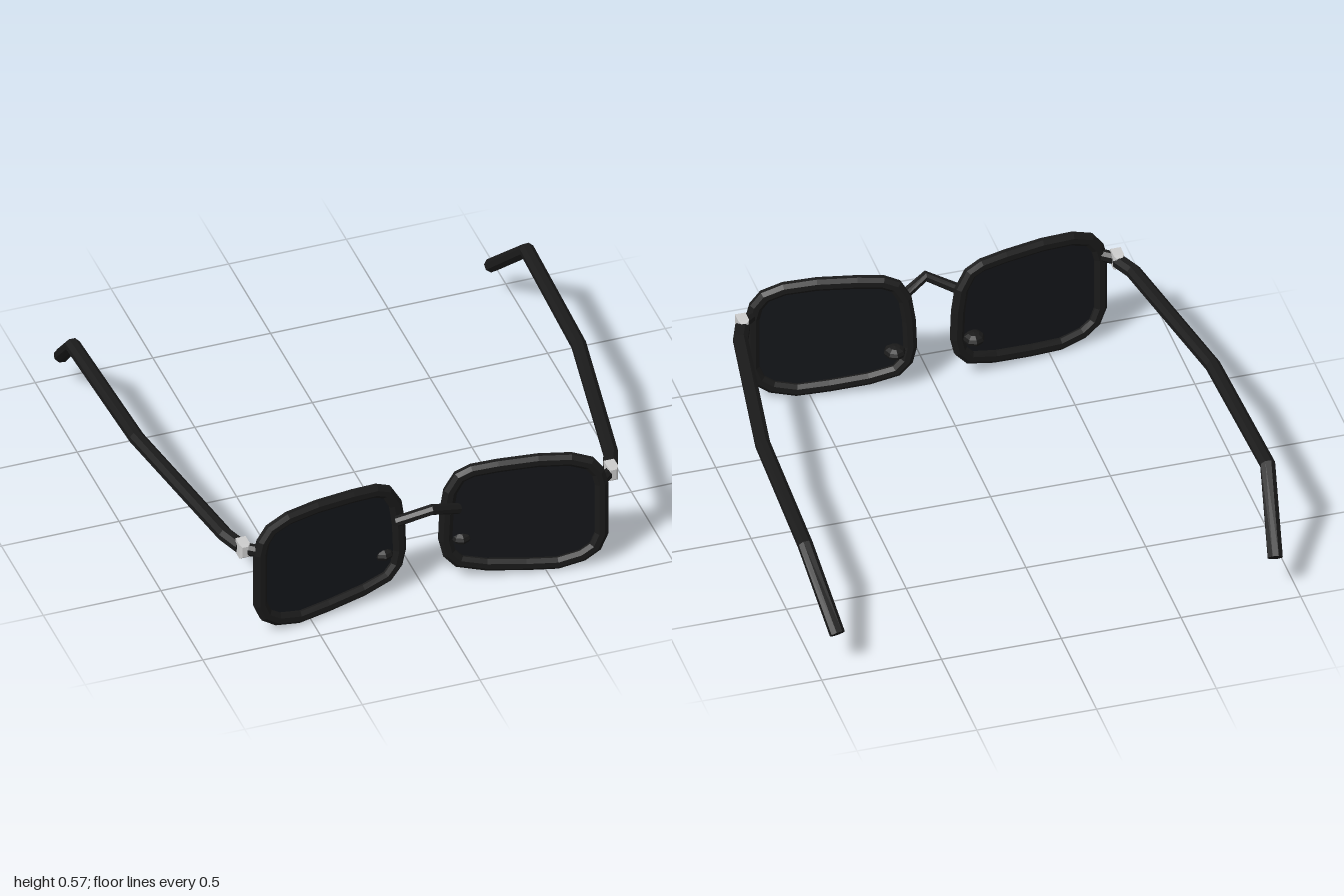
import * as THREE from 'three';

const black = new THREE.MeshStandardMaterial({ color: 0x1a1a1a, flatShading: true });
const metal = new THREE.MeshStandardMaterial({ color: 0xcccccc, flatShading: true });
const glass = new THREE.MeshStandardMaterial({ color: 0x14161a, side: THREE.DoubleSide });

// Centre line of one rim, seen from the front (model's left side)
const RIM = [
  [0.725, 0.40], [0.712, 0.455], [0.677, 0.503], [0.60, 0.533], [0.47, 0.544],
  [0.31, 0.539], [0.207, 0.529], [0.155, 0.505], [0.118, 0.438], [0.103, 0.335],
  [0.098, 0.205], [0.113, 0.137], [0.153, 0.09], [0.262, 0.06], [0.42, 0.04],
  [0.55, 0.03], [0.648, 0.054], [0.70, 0.092], [0.725, 0.155],
];
const TEMPLE = [
  [0.785, 0.41, 0.85], [0.82, 0.415, 0.76], [0.94, 0.43, 0.04],
  [0.965, 0.42, -0.65], [0.914, 0.165, -0.93],
];

// The lenses lie in slanted planes, the outer edge further forward
const planeZ = (x) => 0.81 + (Math.abs(x) - 0.1) * 0.163;

// Sweeps an elliptical section along a polyline, keeping its corners
function sweep(points, ref, rSide, rUp, sides = 8, closed = false) {
  const n = points.length, pos = [], index = [];
  points.forEach((p, i) => {
    const prev = closed ? points[(i + n - 1) % n] : points[Math.max(i - 1, 0)];
    const next = closed ? points[(i + 1) % n] : points[Math.min(i + 1, n - 1)];
    const a = p.clone().sub(prev).normalize(), b = next.clone().sub(p).normalize();
    const t = a.add(b).normalize();
    const side = ref.clone().cross(t).normalize();
    const up = t.clone().cross(side);
    for (let j = 0; j < sides; j++) {
      const w = ((j + 0.5) / sides) * Math.PI * 2;
      const v = p.clone().addScaledVector(side, rSide * Math.cos(w)).addScaledVector(up, rUp * Math.sin(w));
      pos.push(v.x, v.y, v.z);
    }
  });
  for (let i = 0; i < (closed ? n : n - 1); i++) {
    for (let j = 0; j < sides; j++) {
      const k = (j + 1) % sides, r = i * sides, q = ((i + 1) % n) * sides;
      index.push(r + j, r + k, q + j, r + k, q + k, q + j);
    }
  }
  if (!closed) {
    const e = (n - 1) * sides;
    for (let j = 1; j < sides - 1; j++) index.push(0, j + 1, j, e, e + j, e + j + 1);
  }
  const g = new THREE.BufferGeometry();
  g.setAttribute('position', new THREE.Float32BufferAttribute(pos, 3));
  g.setIndex(index);
  g.computeVertexNormals();
  return g;
}

function add(parent, name, geometry, material) {
  const mesh = new THREE.Mesh(geometry, material);
  mesh.name = name;
  parent.add(mesh);
  return mesh;
}

function createSide(s) {
  const side = new THREE.Group();
  side.name = s > 0 ? 'leftSide' : 'rightSide';
  const up = new THREE.Vector3(0, 1, 0);
  const vec = ([x, y, z]) => new THREE.Vector3(s * x, y, z);

  // Rim around the lens
  const normal = new THREE.Vector3(-s * 0.163, 0, 1).normalize();
  const rimPoints = RIM.map(([x, y]) => vec([x, y, planeZ(x)]));
  add(side, 'rim', sweep(rimPoints, normal, 0.03, 0.024, 8, true), black);

  // Flat lens, slanted with the rim
  const lens = new THREE.ShapeGeometry(new THREE.Shape(RIM.map(([x, y]) => new THREE.Vector2(s * x, y))));
  const p = lens.attributes.position;
  for (let i = 0; i < p.count; i++) p.setZ(i, planeZ(p.getX(i)));
  lens.computeVertexNormals();
  add(side, 'lens', lens, glass);

  // Nose pad behind the inner lower corner
  const pad = add(side, 'nosePad', new THREE.SphereGeometry(1, 8, 6), black);
  pad.scale.set(0.045, 0.028, 0.048);
  pad.position.set(s * 0.165, 0.195, 0.8);

  // Hinge: a bevelled metal block and the short lug joining it to the rim
  const hinge = add(side, 'hinge', new THREE.ExtrudeGeometry(
    new THREE.Shape([[-0.012, -0.024], [0.012, -0.024], [0.012, 0.024], [-0.012, 0.024]]
      .map(([x, y]) => new THREE.Vector2(x, y))),
    { depth: 0.05, bevelEnabled: true, bevelSize: 0.01, bevelThickness: 0.01, bevelSegments: 1 }), metal);
  hinge.position.set(s * 0.783, 0.415, 0.84);
  add(side, 'hingeLug', sweep([[0.73, 0.412, 0.908], [0.778, 0.412, 0.872]].map(vec), up, 0.022, 0.028), black);

  // Temple arm with its bent ear piece
  add(side, 'temple', sweep(TEMPLE.map(vec), up, 0.032, 0.03), black);
  return side;
}

export function createModel() {
  const model = new THREE.Group();
  model.name = 'sunglasses';
  for (const s of [1, -1]) model.add(createSide(s));

  // Bridge rising to a point between the lenses
  const bridge = [[-0.13, 0.39, 0.873], [0, 0.45, 0.922], [0.13, 0.39, 0.873]]
    .map((p) => new THREE.Vector3(...p));
  add(model, 'bridge', sweep(bridge, new THREE.Vector3(0, 1, 0), 0.024, 0.022), black);
  return model;
}
